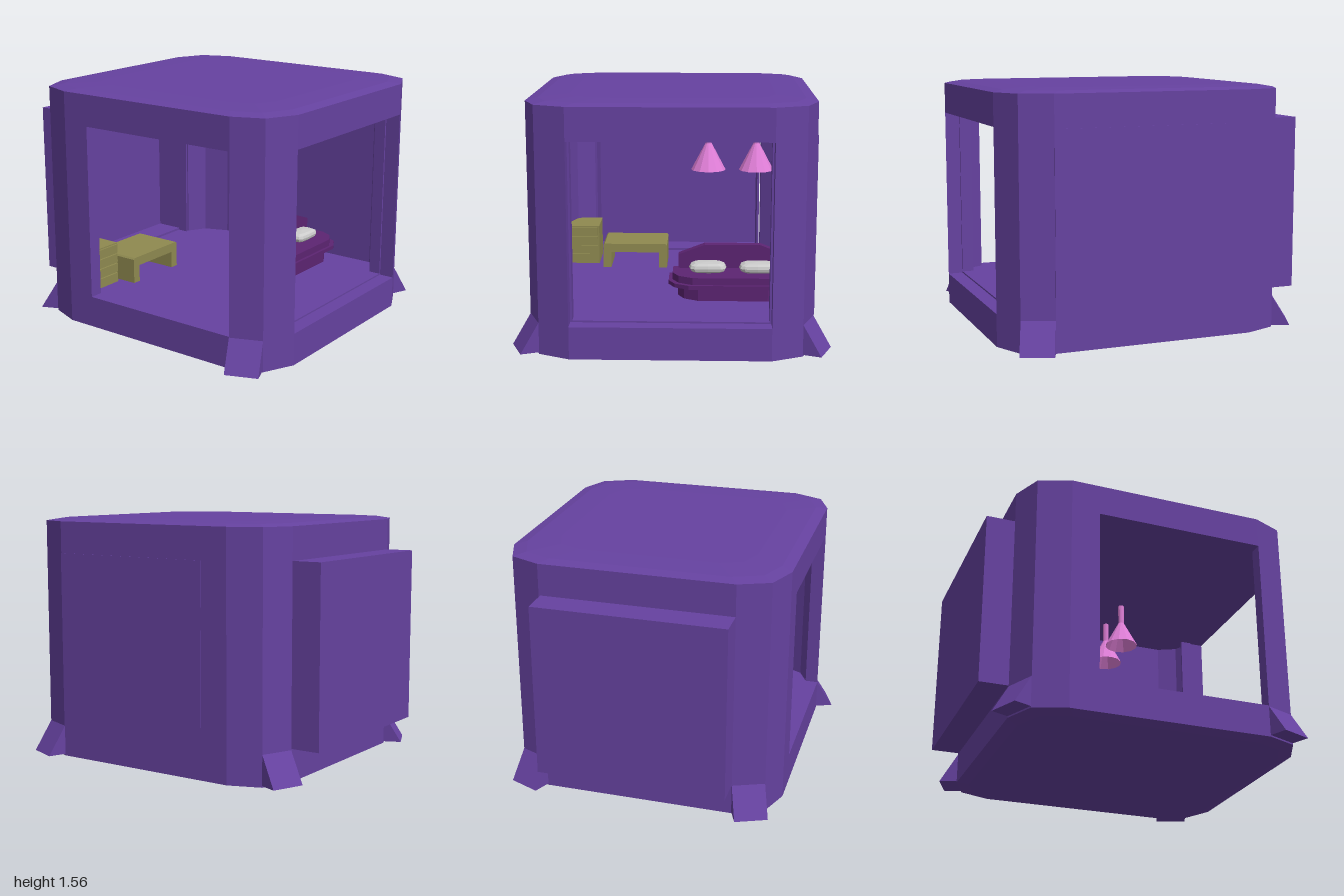
import * as THREE from 'three';

const mat = (color) => new THREE.MeshStandardMaterial({ color, flatShading: true });
const MATS = {
  shell: mat(0x6642a0), bed: mat(0x5c2472), wood: mat(0x8f8a50),
  lamp: mat(0xe07fd8), pillow: mat(0xcccccc),
};
const FLOOR = 0.23, CEIL = 1.336;

// Half outline of the pod (x, z), front centre to back centre
const HALF = [[0.6, 1], [0.79, 0.91], [0.865, 0.72], [0.865, -0.54], [0.79, -0.74], [0.6, -0.82]];
const OUTLINE = [...HALF, ...HALF.slice().reverse().map(([x, z]) => [-x, z])];

function add(parent, name, geometry, material, x = 0, y = 0, z = 0) {
  const mesh = new THREE.Mesh(geometry, material);
  mesh.name = name;
  mesh.position.set(x, y, z);
  parent.add(mesh);
  return mesh;
}

// Box given by its min and max corners
function box(parent, name, material, [x0, y0, z0], [x1, y1, z1]) {
  return add(parent, name, new THREE.BoxGeometry(x1 - x0, y1 - y0, z1 - z0), material,
    (x0 + x1) / 2, (y0 + y1) / 2, (z0 + z1) / 2);
}

// Vertical prism over a footprint of (x, z) points
function prism(points, y0, y1) {
  const shape = new THREE.Shape(points.map(([x, z]) => new THREE.Vector2(x, -z)));
  return new THREE.ExtrudeGeometry(shape, { depth: y1 - y0, bevelEnabled: false })
    .rotateX(-Math.PI / 2).translate(0, y0, 0);
}

// Closed slab lofted through scaled copies of the pod outline: rings of [y, scale]
function slab(rings) {
  const n = OUTLINE.length, zc = 0.09, pos = [];
  const pt = (r, k) => {
    const [x, z] = OUTLINE[k % n];
    return [x * r[1], r[0], zc + (z - zc) * r[1]];
  };
  const first = rings[0], last = rings[rings.length - 1];
  for (let k = 0; k < n; k++) {
    for (let i = 0; i + 1 < rings.length; i++) {
      const a = pt(rings[i], k), b = pt(rings[i], k + 1);
      const c = pt(rings[i + 1], k + 1), d = pt(rings[i + 1], k);
      pos.push(...a, ...b, ...c, ...a, ...c, ...d);
    }
    pos.push(0, last[0], zc, ...pt(last, k), ...pt(last, k + 1));
    pos.push(0, first[0], zc, ...pt(first, k + 1), ...pt(first, k));
  }
  const g = new THREE.BufferGeometry();
  g.setAttribute('position', new THREE.Float32BufferAttribute(pos, 3));
  g.computeVertexNormals();
  return g;
}

// Wedge foot leaning on the wall edge between a and b
function foot(parent, name, a, b) {
  const mx = (a[0] + b[0]) / 2, mz = (a[1] + b[1]) / 2;
  const dx = b[0] - a[0], dz = b[1] - a[1], len = Math.hypot(dx, dz);
  let nx = -dz / len, nz = dx / len;
  if (nx * mx + nz * mz < 0) { nx = -nx; nz = -nz; }
  const s = new THREE.Shape([[-0.03, 0.04], [0.115, 0.04], [0, 0.225], [-0.03, 0.225]]
    .map((p) => new THREE.Vector2(...p)));
  const g = new THREE.ExtrudeGeometry(s, { depth: len, bevelEnabled: false }).translate(0, 0, -len / 2);
  add(parent, name, g, MATS.shell, mx, 0, mz).rotation.y = Math.atan2(-nz, nx);
}

function buildShell() {
  const g = new THREE.Group();
  g.name = 'shell';
  add(g, 'floor', slab([[0, 0.72], [0.01, 0.92], [0.03, 1], [FLOOR, 1]]), MATS.shell);
  add(g, 'roof', slab([[CEIL, 1], [1.535, 1], [1.549, 0.92], [1.556, 0.72]]), MATS.shell);

  // Corner pillars and feet, mirrored left and right
  const front = [[0.6, 1], [0.79, 0.91], [0.865, 0.72], [0.78, 0.72], [0.72, 0.84], [0.6, 0.9]];
  const back = [[0.6, -0.82], [0.79, -0.74], [0.865, -0.54], [0.865, -0.36],
    [0.78, -0.36], [0.78, -0.5], [0.72, -0.66], [0.6, -0.73]];
  for (const [s, side] of [[1, 'Left'], [-1, 'Right']]) {
    const flip = (pts) => pts.map(([x, z]) => [s * x, z]);
    add(g, 'frontPillar' + side, prism(flip(front), FLOOR, CEIL), MATS.shell);
    add(g, 'backPillar' + side, prism(flip(back), FLOOR, CEIL), MATS.shell);
    foot(g, 'frontFoot' + side, ...flip([HALF[1], HALF[2]]));
    foot(g, 'backFoot' + side, ...flip([HALF[4], HALF[5]]));
    // Slim upright of the front window frame
    box(g, 'windowUpright' + side, MATS.shell, [s * 0.595 - 0.007, FLOOR, 0.83], [s * 0.595 + 0.007, CEIL, 0.905]);
  }
  box(g, 'windowSill', MATS.shell, [-0.6, FLOOR - 0.01, 0.83], [0.6, FLOOR + 0.01, 0.905]);

  // Closed wall panel on the left side
  box(g, 'sidePanel', MATS.shell, [0.78, FLOOR, -0.36], [0.869, CEIL, 0.72]);

  // Hollow bay sticking out at the back
  const t = 0.015;
  box(g, 'bayBack', MATS.shell, [-0.6, FLOOR, -1], [0.59, CEIL, -1 + t]);
  box(g, 'bayTop', MATS.shell, [-0.6, CEIL - t, -1], [0.59, CEIL, -0.8]);
  box(g, 'bayBottom', MATS.shell, [-0.6, FLOOR, -1], [0.59, FLOOR + t, -0.8]);
  box(g, 'baySideRight', MATS.shell, [-0.6, FLOOR, -1], [-0.6 + t, CEIL, -0.73]);
  box(g, 'baySideLeft', MATS.shell, [0.59 - t, FLOOR, -1], [0.59, CEIL, -0.73]);
  return g;
}

function buildBed() {
  const g = new THREE.Group();
  g.name = 'bed';
  g.position.set(0.38, 0, 0);
  // Layers with rounded front corners: half width, front z, bottom, top
  const layers = [['bedBase', 0.35, 0.46, FLOOR, 0.32], ['bedRim', 0.41, 0.5, 0.315, 0.34],
    ['mattress', 0.385, 0.48, 0.34, 0.385]];
  for (const [name, w, z, y0, y1] of layers) {
    add(g, name, prism([[-w, 0.2], [-w, z - 0.13], [-w + 0.04, z - 0.05], [-w + 0.13, z],
      [w - 0.13, z], [w - 0.04, z - 0.05], [w, z - 0.13], [w, 0.2]], y0, y1), MATS.bed);
  }
  // Headboard with sloped shoulders
  const s = new THREE.Shape([[-0.35, FLOOR], [0.35, FLOOR], [0.35, 0.475], [0.18, 0.54], [-0.18, 0.54], [-0.35, 0.475]]
    .map((p) => new THREE.Vector2(...p)));
  add(g, 'headboard', new THREE.ExtrudeGeometry(s, { depth: 0.06, bevelEnabled: false }), MATS.bed, 0, 0, 0.18);
  // Cushion pillows
  for (const x of [-0.16, 0.16]) {
    const p = new THREE.SphereGeometry(1, 12, 6);
    const a = p.attributes.position;
    const square = (v) => Math.sign(v) * Math.pow(Math.abs(v), 0.5);
    for (let i = 0; i < a.count; i++) a.setXYZ(i, square(a.getX(i)) * 0.12, a.getY(i) * 0.035, square(a.getZ(i)) * 0.07);
    p.computeVertexNormals();
    add(g, 'pillow', p, MATS.pillow, x, 0.415, 0.315);
  }
  return g;
}

function buildFurniture() {
  const g = new THREE.Group();
  g.name = 'furniture';
  // Desk: one bent slab, seen from the front as an arch
  const s = new THREE.Shape([[-0.51, FLOOR], [-0.455, FLOOR], [-0.455, 0.34], [-0.12, 0.34], [-0.12, FLOOR],
    [-0.065, FLOOR], [-0.065, 0.39], [-0.075, 0.4], [-0.5, 0.4], [-0.51, 0.39]].map((p) => new THREE.Vector2(...p)));
  add(g, 'desk', new THREE.ExtrudeGeometry(s, { depth: 0.32, bevelEnabled: false }), MATS.wood, 0, 0, -0.63);
  // Dresser with stacked drawers
  box(g, 'dresser', MATS.wood, [-0.775, FLOOR, -0.68], [-0.548, 0.5, -0.42]);
  for (let i = 0; i < 4; i++) {
    const y = FLOOR + 0.012 + i * 0.065;
    box(g, 'drawer', MATS.wood, [-0.765, y, -0.43], [-0.558, y + 0.055, -0.408]);
  }
  return g;
}

// Hanging lamp: stem and flared shade
function buildLamp(x) {
  const g = new THREE.Group();
  g.name = 'lamp';
  g.position.set(x, 0, 0.2);
  add(g, 'lampStem', new THREE.CylinderGeometry(0.02, 0.02, 0.15, 12), MATS.lamp, 0, 1.265, 0);
  const shade = MATS.lamp.clone();
  shade.side = THREE.DoubleSide;
  add(g, 'lampShade', new THREE.CylinderGeometry(0.02, 0.11, 0.17, 12, 1, true), shade, 0, 1.115, 0);
  return g;
}

export function createModel() {
  const model = new THREE.Group();
  model.name = 'podRoom';
  model.add(buildShell(), buildBed(), buildFurniture(), buildLamp(0.22), buildLamp(0.525));
  return model;
}
